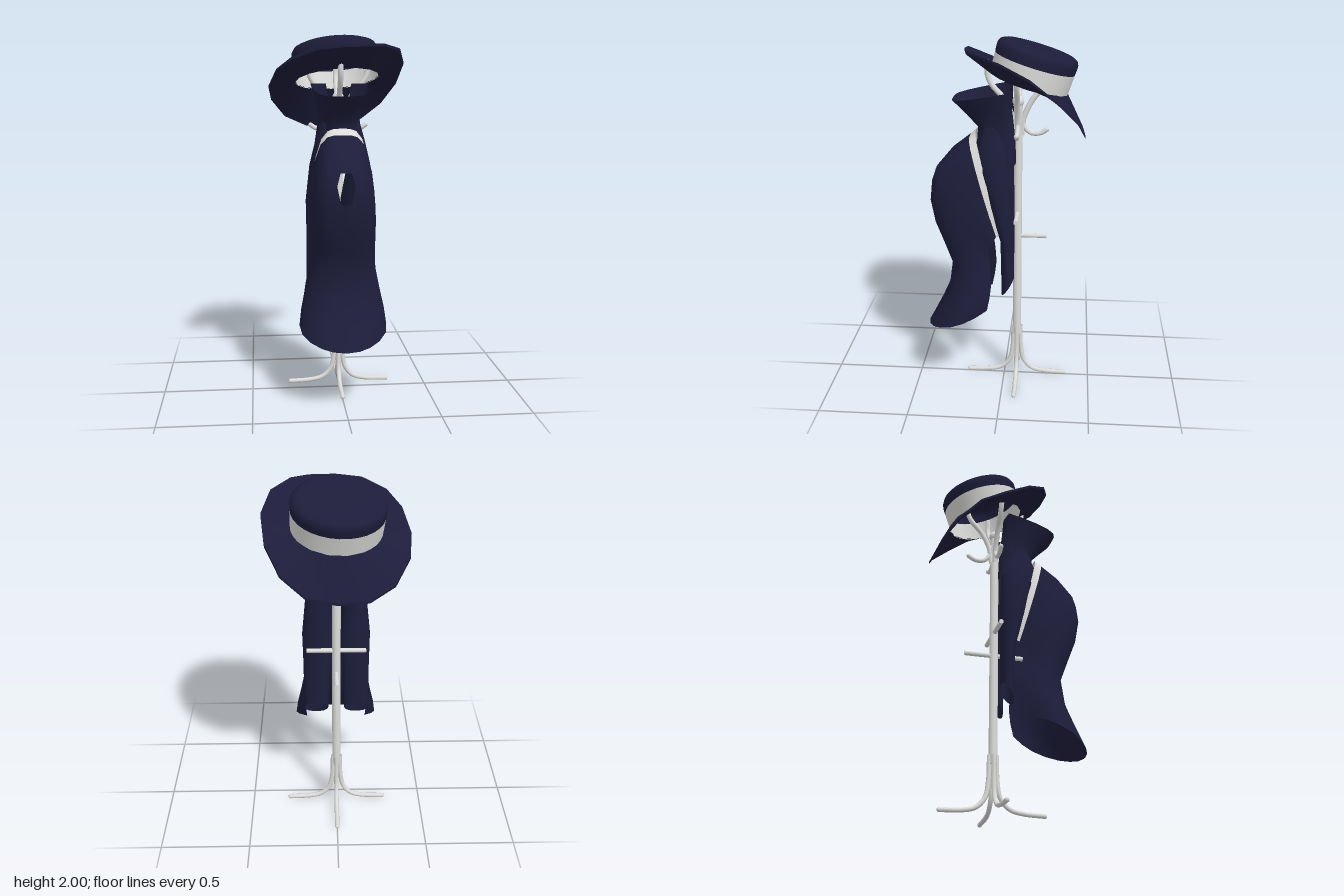
import * as THREE from 'three';

const V = (x, y, z) => new THREE.Vector3(x, y, z);

// Skin a list of equal-length point rows; skip(r, c) leaves a quad open
function loft(rows, closed = false, skip = () => false) {
  const n = rows[0].length, idx = [];
  const g = new THREE.BufferGeometry().setFromPoints(rows.flat());
  for (let r = 0; r < rows.length - 1; r++) {
    for (let c = 0; c < (closed ? n : n - 1); c++) {
      if (skip(r, c)) continue;
      const d = (c + 1) % n, a = r * n;
      idx.push(a + c, a + n + c, a + d, a + d, a + n + c, a + n + d);
    }
  }
  g.setIndex(idx);
  g.computeVertexNormals();
  return g;
}

// U-shaped section open to the back: front point, back edge, half width, squareness, inward curl of the edge
const US = [-1, -0.985, -0.93, -0.82, -0.65, -0.45, -0.25, 0, 0.25, 0.45, 0.65, 0.82, 0.93, 0.985, 1];
function uRow([zf, yf, zb, yb, w, e, curl = 0]) {
  return US.map((u) => {
    const t = Math.sqrt(Math.max(0, 1 - Math.abs(u) ** (2 / e)));
    return V(u * w * (1 - curl * (1 - t) ** 3), yb + (yf - yb) * t, zb + (zf - zb) * t);
  });
}

function ring(n, f) {
  return Array.from({ length: n }, (_, i) => f((i / n) * Math.PI * 2));
}

export function createModel() {
  const root = new THREE.Group();
  root.name = 'coatStand';
  const navy = new THREE.MeshStandardMaterial({ color: 0x1d1d3b, side: THREE.DoubleSide });
  navy.name = 'navy cloth';
  const white = new THREE.MeshStandardMaterial({ color: 0xdddddb, side: THREE.DoubleSide });
  white.name = 'off white';
  const add = (name, geo, mat, parent = root) => {
    const m = new THREE.Mesh(geo, mat);
    m.name = name;
    parent.add(m);
    return m;
  };

  // ---- Stand: pole, knob, feet, hooks and pegs ----
  const stand = new THREE.Group();
  stand.name = 'stand';
  stand.position.z = -0.075;
  root.add(stand);
  add('pole', new THREE.CylinderGeometry(0.024, 0.024, 1.39, 16).translate(0, 0.965, 0), white, stand);
  add('knob', new THREE.SphereGeometry(0.032, 16, 10).translate(0, 1.665, 0), white, stand);
  const bentRod = (pts, r) => {
    const curve = new THREE.CatmullRomCurve3(pts.map(([x, y]) => V(x, y, 0)));
    const end = pts[pts.length - 1];
    const g = new THREE.TubeGeometry(curve, 20, r, 8);
    return [g, new THREE.SphereGeometry(r, 8, 6).translate(end[0], end[1], 0)];
  };
  const rods = {
    foot: bentRod([[0.02, 0.32], [0.024, 0.18], [0.042, 0.09], [0.09, 0.038], [0.16, 0.02], [0.28, 0.014]], 0.013),
    upperHook: bentRod([[0.018, 1.48], [0.032, 1.58], [0.08, 1.68], [0.14, 1.75], [0.163, 1.8], [0.165, 1.87]], 0.015),
    lowerHook: bentRod([[0.018, 1.6], [0.032, 1.53], [0.07, 1.492], [0.12, 1.492], [0.155, 1.512]], 0.013),
  };
  for (let i = 0; i < 4; i++) {
    for (const [name, parts] of Object.entries(rods)) {
      for (const g of parts) add(name, g, white, stand).rotation.y = (i * Math.PI) / 2;
    }
  }
  add('frontBackPeg', new THREE.CylinderGeometry(0.013, 0.013, 0.33, 10).rotateX(Math.PI / 2).translate(0, 0.893, 0), white, stand);
  add('sidePeg', new THREE.CylinderGeometry(0.013, 0.013, 0.33, 10).rotateZ(Math.PI / 2).translate(0, 1.03, 0), white, stand);

  // ---- Cape: trimmed diagonal neckline, bulging front, flared pointed hem ----
  const capeTop = [0.187, 1.472, 0.034, 0.933, 0.18, 0.5, 0.22];
  add('capeTrim', loft([[0.152, 1.505, 0.006, 0.95, 0.17, 0.52, 0.25], capeTop].map(uRow)), white);
  const cape = [
    capeTop,
    [0.285, 1.395, 0.042, 0.925, 0.188, 0.48, 0.2],
    [0.375, 1.29, 0.05, 0.9, 0.193, 0.5, 0.2],
    [0.396, 1.225, 0.06, 0.89, 0.193, 0.51, 0.2],
    [0.408, 1.13, 0.07, 0.88, 0.193, 0.52, 0.2],
    [0.385, 1.0, 0.076, 0.84, 0.193, 0.56, 0.2],
    [0.335, 0.87, 0.072, 0.8, 0.195, 0.58, 0.2],
    [0.29, 0.75, 0.065, 0.74, 0.203, 0.6, 0.2],
    [0.31, 0.6, 0.06, 0.65, 0.232, 0.66, 0.25],
    [0.37, 0.47, 0.07, 0.57, 0.262, 0.8, 0.32],
    [0.438, 0.345, 0.085, 0.495, 0.286, 1, 0.4],
  ].map(uRow);
  // small rounded opening in the chest, between columns 6 and 8
  for (const r of [2, 4]) for (const c of [6, 8]) cape[r][c].x *= 0.6;
  add('cape', loft(cape, false, (r, c) => (r === 2 || r === 3) && (c === 6 || c === 7)), navy);

  // ---- Standing collar, folded in towards the pole at the back ----
  const collar = [
    [0.275, 1.68, -0.03, 1.74, 0.157, 0.4],
    [0.2, 1.6, -0.035, 1.64, 0.125, 0.5],
    [0.14, 1.53, -0.045, 1.55, 0.115, 0.6],
    [0.145, 1.46, -0.055, 1.45, 0.128, 0.6],
    [0.165, 1.38, -0.06, 1.34, 0.145, 0.6],
  ].map((s) => {
    const [, , zb, yb, w] = s;
    return [V(-w * 0.45, yb, zb - 0.01), ...uRow(s), V(w * 0.45, yb, zb - 0.01)];
  });
  add('collar', loft(collar), navy);

  // ---- Empty sleeves: centre y, x, z, half width, half depth, hem slant ----
  const sleeve = [
    [1.55, 0.07, 0.03, 0.035, 0.07, 0],
    [1.42, 0.09, 0.04, 0.05, 0.1, 0],
    [1.3, 0.105, 0.032, 0.064, 0.094, 0],
    [1.1, 0.097, 0.003, 0.092, 0.068, 0],
    [0.9, 0.108, -0.026, 0.076, 0.038, 0],
    [0.63, 0.115, -0.03, 0.07, 0.035, 1.5],
  ];
  for (const side of [1, -1]) {
    const rows = sleeve.map(([y, x, z, w, d, slant]) =>
      ring(14, (a) => V(side * (x + w * Math.cos(a)), y - slant * d * Math.sin(a), z + d * Math.sin(a))));
    add(side > 0 ? 'leftSleeve' : 'rightSleeve', loft(rows, true), navy);
  }

  // ---- Hat: tilted crown and band, warped brim ----
  const hat = new THREE.Group();
  hat.name = 'hat';
  root.add(hat);
  const tilt = new THREE.Matrix4().makeRotationFromEuler(new THREE.Euler(-0.29, 0, 0.07));
  tilt.setPosition(0, 1.766, -0.131);
  const hatRing = (s, h, n = 32) =>
    ring(n, (a) => V(Math.sin(a) * 0.237 * s, h, -Math.cos(a) * 0.215 * s).applyMatrix4(tilt));
  add('hatBand', loft([hatRing(1, 0), hatRing(1.02, 0.108)], true), white, hat);
  add('hatCrown', loft([[1.02, 0.108], [1.03, 0.14], [1.025, 0.162], [0.98, 0.18], [0.88, 0.19], [0.5, 0.194], [0, 0.194]]
    .map(([s, h]) => hatRing(s, h)), true), navy, hat);
  const rim = [
    [0, 1.495, -0.435], [0.155, 1.525, -0.435], [0.285, 1.63, -0.395], [0.36, 1.75, -0.29],
    [0.38, 1.86, -0.155], [0.335, 1.93, 0], [0.235, 1.952, 0.13], [0.14, 1.95, 0.185],
    [0, 1.945, 0.21], [-0.14, 1.93, 0.205], [-0.27, 1.88, 0.15], [-0.345, 1.82, 0.04],
    [-0.385, 1.73, -0.105], [-0.37, 1.66, -0.245], [-0.29, 1.56, -0.36], [-0.16, 1.5, -0.42],
  ].map((p) => V(...p));
  const lower = (row, d) => row.map((p) => p.clone().add(V(0, -d, 0)));
  const inner = hatRing(1, 0.004, 16);
  add('hatBrimTop', loft([inner, rim], true), navy, hat);
  add('hatBrimEdge', loft([rim, lower(rim, 0.014)], true), navy, hat);
  add('hatBrimUnderside', loft([lower(rim, 0.014), lower(inner, 0.008)], true), navy, hat);

  return root;
}
